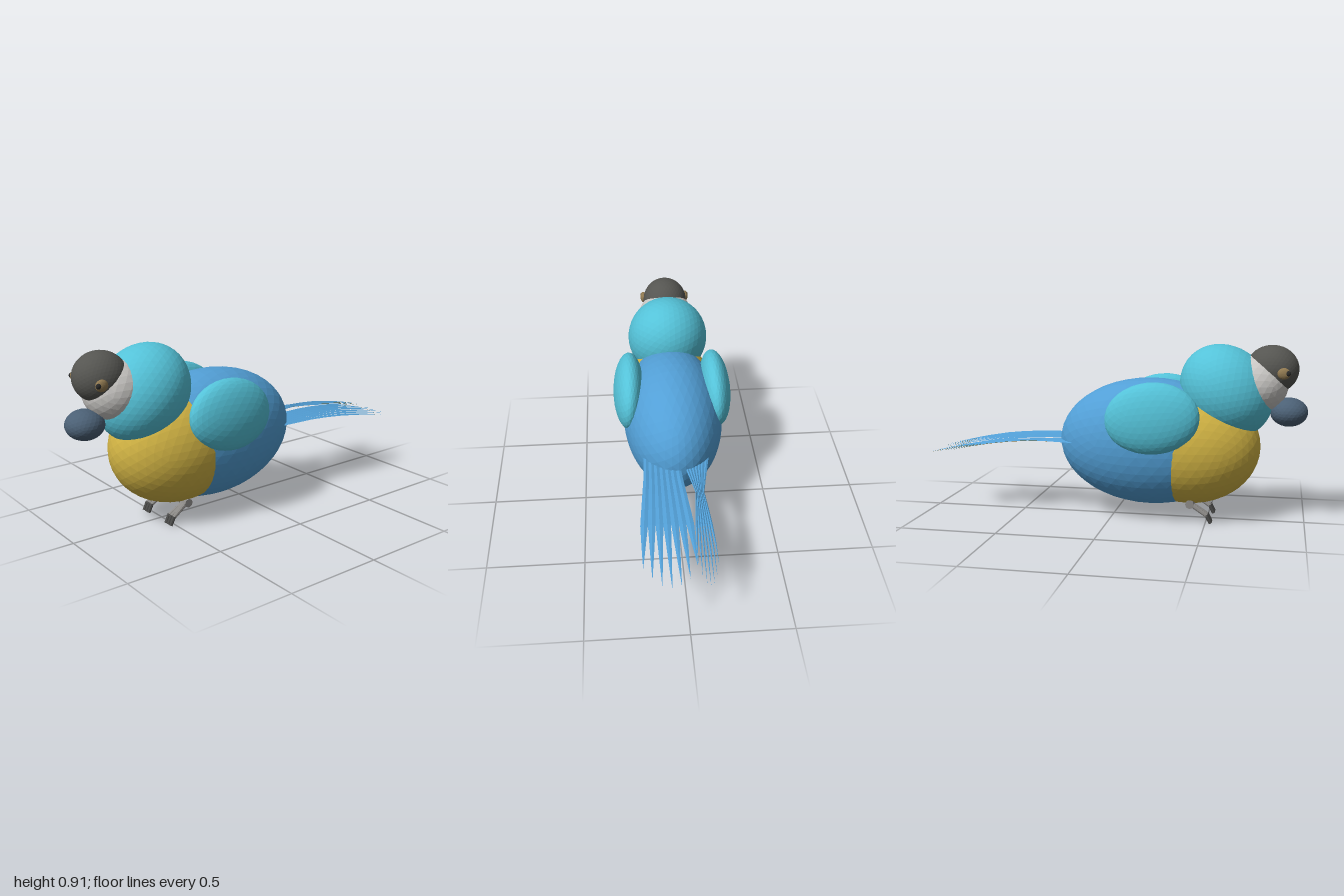
import * as THREE from 'three';

const mat = (name, color, extra = {}) => {
  const m = new THREE.MeshStandardMaterial({ color, flatShading: true, ...extra });
  m.name = name;
  return m;
};

export function createModel() {
  const bird = new THREE.Group();
  bird.name = 'bird';

  const blue = mat('blue', 0x529fd6);
  const teal = mat('teal', 0x54c2d8);
  const yellow = mat('yellow', 0xd2b444);
  const charcoal = mat('charcoal', 0x555551);
  const white = mat('paleGrey', 0xc8c6c3);
  const slate = mat('slate', 0x4b6075);
  const tan = mat('tan', 0x8f7850);
  const pupilBlack = mat('pupilBlack', 0x2a2a29);
  const legGrey = mat('legGrey', 0x8c8a87);
  const clawGrey = mat('clawGrey', 0x4a4a49);

  // Faceted ellipsoid from centre and radii
  const ball = (name, material, pos, radii, detail = 7, rot = [0, 0, 0]) => {
    const mesh = new THREE.Mesh(new THREE.IcosahedronGeometry(1, detail), material);
    mesh.name = name;
    mesh.position.set(...pos);
    mesh.scale.set(...radii);
    mesh.rotation.set(...rot);
    bird.add(mesh);
    return mesh;
  };

  // Tapered rod between two points
  const rod = (name, material, a, b, r0, r1) => {
    const p = new THREE.Vector3(...a), q = new THREE.Vector3(...b);
    const dir = q.clone().sub(p);
    const mesh = new THREE.Mesh(new THREE.CylinderGeometry(r1, r0, dir.length(), 8), material);
    mesh.name = name;
    mesh.position.copy(p).add(q).multiplyScalar(0.5);
    mesh.quaternion.setFromUnitVectors(new THREE.Vector3(0, 1, 0), dir.normalize());
    bird.add(mesh);
  };

  // Body and head
  ball('body', blue, [0, 0.402, 0.2], [0.27, 0.333, 0.486]);
  ball('breast', yellow, [0, 0.385, 0.403], [0.26, 0.305, 0.365]);
  ball('head', teal, [0, 0.675, 0.587], [0.222, 0.22, 0.257], 7, [Math.PI / 4, 0, 0]);
  ball('face', white, [0, 0.715, 0.74], [0.157, 0.15, 0.16], 4);
  ball('cap', charcoal, [0, 0.79, 0.815], [0.123, 0.123, 0.134]);
  ball('beak', slate, [0, 0.574, 0.905], [0.093, 0.074, 0.095], 4);

  for (const s of [1, -1]) {
    const side = s > 0 ? 'left' : 'right';

    // Wing and eye
    ball(side + 'Wing', teal, [s * 0.235, 0.554, 0.235], [0.083, 0.182, 0.24], 5, [-0.1, 0, s * 0.07]);
    ball(side + 'Eye', tan, [s * 0.122, 0.78, 0.873], [0.018, 0.029, 0.032], 3);
    ball(side + 'Pupil', pupilBlack, [s * 0.13, 0.782, 0.892], [0.01, 0.014, 0.015], 2);

    // Foot: ankle, three toes and claws
    rod(side + 'Ankle', legGrey, [s * 0.1 - 0.03, 0.097, 0.42], [s * 0.1 + 0.03, 0.097, 0.42], 0.023, 0.023);
    for (const k of [-1, 0, 1]) {
      const x = s * 0.103 + k * 0.021;
      rod(side + 'Toe', legGrey, [s * 0.103 + k * 0.008, 0.095, 0.425], [x, 0.04, 0.51], 0.013, 0.01);
      rod(side + 'Claw', clawGrey, [x, 0.046, 0.506], [x, 0.003, 0.528], 0.01, 0.009);
    }
  }

  // Piecewise linear value at z from [z, value] keys
  const sample = (keys, z) => {
    for (let i = 1; i < keys.length; i++) {
      const [z0, v0] = keys[i - 1], [z1, v1] = keys[i];
      if (z >= z1) return THREE.MathUtils.lerp(v0, v1, (z - z0) / (z1 - z0));
    }
    return keys[keys.length - 1][1];
  };

  // Tail fan: ridged pointed feathers, blue above and yellow below
  const tailFan = (name, centre, halfWidth) => {
    const N = 7, NOTCH = -0.65;
    const surface = (below) => {
      const pos = [], idx = [];
      for (let f = 0; f < N; f++) {
        const s = (f + 0.5) / N * 2 - 1;
        const tip = -1 + 0.155 * s * s;
        const rows = [-0.15, -0.25, -0.35, -0.45, -0.55, NOTCH, (NOTCH + tip) / 2, tip];
        const base = pos.length / 3;
        rows.forEach((z, r) => {
          const h = sample(halfWidth, z);
          const taper = z >= NOTCH ? 1 : (z - tip) / (NOTCH - tip);
          const drop = Math.max(0, -z - 0.35);
          const y = 0.402 - 0.206 * drop * drop - 0.02 * s * s * drop - (below ? 0.003 : 0);
          for (const k of [-1, 0, 1]) {
            pos.push(centre + s * h + k * taper * h / N, y + (k ? 0 : 0.004 * taper), z);
          }
          if (!r) return;
          for (const c of [0, 1]) {
            const a = base + (r - 1) * 3 + c, b = a + 1, d = a + 3, e = a + 4;
            idx.push(...(below ? [a, d, b, b, d, e] : [a, b, d, b, e, d]));
          }
        });
      }
      const g = new THREE.BufferGeometry();
      g.setAttribute('position', new THREE.Float32BufferAttribute(pos, 3));
      g.setIndex(idx);
      g.computeVertexNormals();
      return g;
    };
    const group = new THREE.Group();
    group.name = name;
    const top = new THREE.Mesh(surface(false), blue);
    top.name = 'upperFeathers';
    const under = new THREE.Mesh(surface(true), yellow);
    under.name = 'underFeathers';
    group.add(top, under);
    bird.add(group);
  };
  tailFan('leftTailFan', 0.085, [[-0.15, 0.09], [-0.35, 0.1], [-0.65, 0.128], [-1, 0.155]]);
  tailFan('rightTailFan', -0.09, [[-0.15, 0.078], [-0.45, 0.022], [-0.75, 0.05], [-1, 0.06]]);

  return bird;
}
